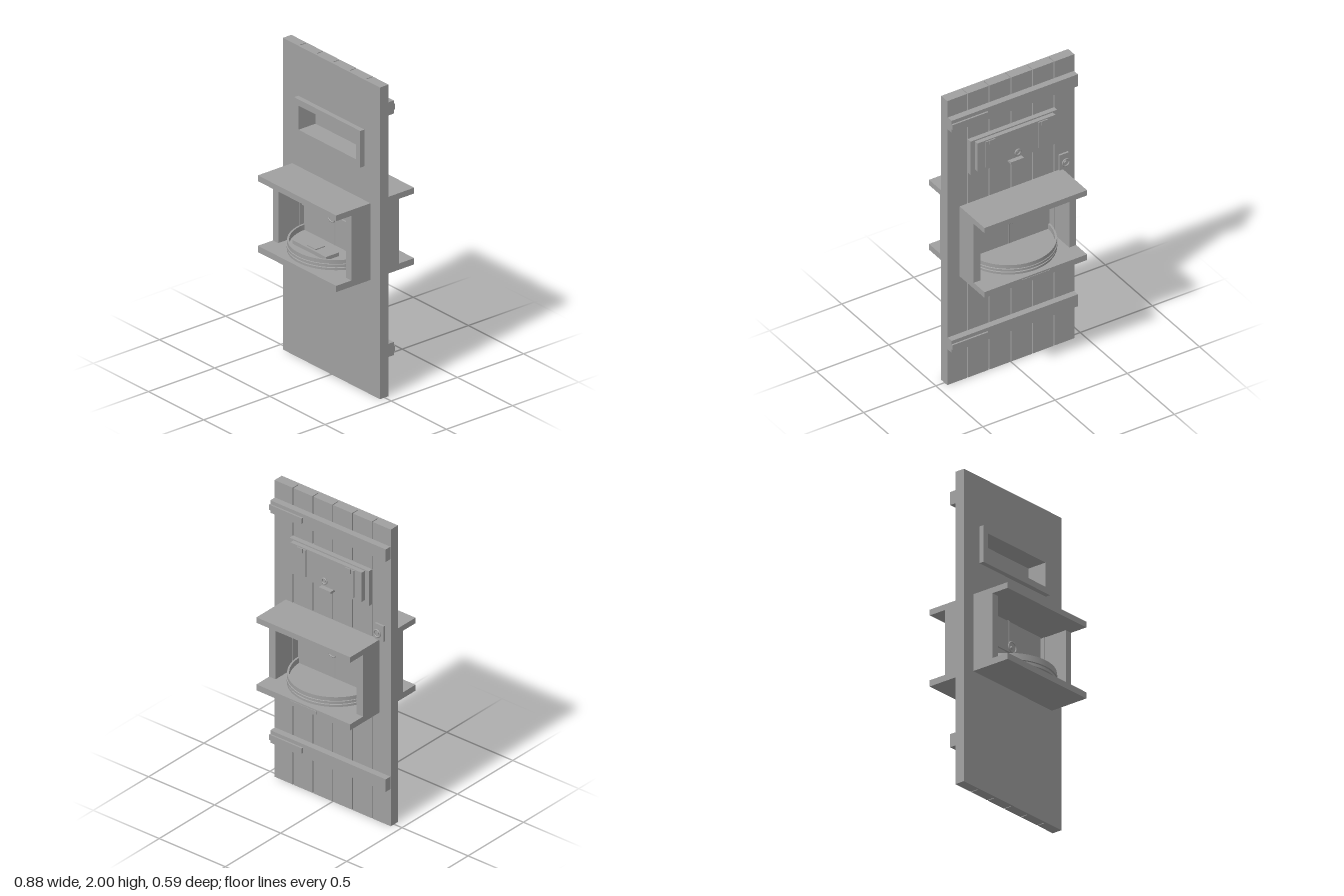
import * as THREE from 'three';
import { toCreasedNormals } from 'three/addons/utils/BufferGeometryUtils.js';

export function createModel() {
  const model = new THREE.Group();
  model.name = 'serviceDoor';
  const grey = new THREE.MeshStandardMaterial({ color: 0xa0a0a0 });
  grey.name = 'grey';

  function add(name, geometry, parent = model) {
    const mesh = new THREE.Mesh(geometry, grey);
    mesh.name = name;
    parent.add(mesh);
    return mesh;
  }
  // box given by its limits on each axis
  function box(name, x0, x1, y0, y1, z0, z1, parent = model) {
    const mesh = add(name, new THREE.BoxGeometry(x1 - x0, y1 - y0, z1 - z0), parent);
    mesh.position.set((x0 + x1) / 2, (y0 + y1) / 2, (z0 + z1) / 2);
    return mesh;
  }
  function rect(target, hw, y0, y1) {
    target.moveTo(-hw, y0);
    target.lineTo(hw, y0);
    target.lineTo(hw, y1);
    target.lineTo(-hw, y1);
    target.closePath();
    return target;
  }
  // rectangular sheet with rectangular openings
  function sheet(name, outer, openings, z0, z1) {
    const shape = rect(new THREE.Shape(), ...outer);
    for (const o of openings) shape.holes.push(rect(new THREE.Path(), ...o));
    const geometry = new THREE.ExtrudeGeometry(shape, { depth: z1 - z0, bevelEnabled: false });
    add(name, geometry).position.z = z0;
  }
  function ring(name, x, y, z, radius, tube, parent = model) {
    add(name, new THREE.TorusGeometry(radius, tube, 8, 28), parent).position.set(x, y, z);
  }
  function disc(name, x, y, z, radius, depth, parent = model) {
    const geometry = new THREE.CylinderGeometry(radius, radius, depth, 24).rotateX(Math.PI / 2);
    add(name, geometry, parent).position.set(x, y, z);
  }

  // door: smooth front face, planks with grooves behind
  sheet('doorFace', [0.44, 0, 2], [[0.305, 0.775, 1.19], [0.26, 1.485, 1.64]], 0.02, 0.035);
  const edges = [-0.44, -0.3, -0.15, 0, 0.15, 0.3, 0.44];
  for (let i = 0; i < 6; i++) {
    const outer = i === 0 || i === 5;
    const spans = outer ? [[0, 2]] : [[0, 0.775], [1.19, 1.485], [1.64, 2]];
    const x0 = edges[i] + (i > 0 ? 0.003 : 0);
    const x1 = edges[i + 1] - (i < 5 ? 0.003 : 0);
    for (const [y0, y1] of spans) box('plank', x0, x1, y0, y1, -0.03, 0.02);
  }

  // battens with hinge straps
  for (const y of [0.292, 1.842]) {
    box('batten', -0.437, 0.437, y - 0.042, y + 0.042, -0.072, -0.03);
    box('hingeStrap', 0.19, 0.437, y - 0.018, y + 0.018, -0.083, -0.072);
  }

  // viewing slot frame and its shutter
  sheet('slotFrame', [0.3, 1.445, 1.68], [[0.26, 1.485, 1.64]], -0.062, 0.067);
  const shutter = new THREE.Group();
  shutter.name = 'shutter';
  model.add(shutter);
  box('shutterPanel', -0.27, 0.27, 1.475, 1.672, -0.09, -0.062, shutter);
  for (const s of [-1, 1]) {
    const x = s * 0.182;
    box('shutterStrap', x - 0.033, x + 0.033, 1.485, 1.665, -0.097, -0.09, shutter);
    box('shutterHinge', x - 0.012, x + 0.012, 1.64, 1.67, -0.103, -0.097, shutter);
  }
  ring('shutterPull', 0, 1.52, -0.106, 0.018, 0.005, shutter);
  disc('pullStem', 0, 1.52, -0.097, 0.008, 0.02, shutter);
  box('shutterLatch', -0.045, 0.045, 1.447, 1.462, -0.103, -0.062, shutter);

  // lock plate and turning ring
  box('lockPlate', -0.395, -0.33, 1.23, 1.335, -0.043, -0.03);
  ring('lockRing', -0.362, 1.285, -0.061, 0.023, 0.005);
  disc('lockStem', -0.362, 1.285, -0.052, 0.009, 0.02);

  // hatch box through the door
  box('lowerShelf', -0.355, 0.355, 0.735, 0.775, -0.295, 0.295);
  box('upperShelf', -0.355, 0.355, 1.19, 1.227, -0.295, 0.295);
  for (const s of [-1, 1]) {
    const x = s * 0.331;
    box('hatchSide', x - 0.024, x + 0.024, 0.775, 1.19, -0.18, 0.18);
  }
  box('shelfPlate', -0.1, 0.1, 0.745, 0.765, -0.298, -0.295);

  // rotating tray with raised rim and divider
  const turntable = new THREE.Group();
  turntable.name = 'turntable';
  model.add(turntable);
  const profile = [
    [0, 0.792], [0.285, 0.792], [0.285, 0.806], [0.278, 0.808], [0.278, 0.814],
    [0.288, 0.816], [0.288, 0.83], [0.284, 0.832], [0.284, 0.857], [0.272, 0.857],
    [0.272, 0.822], [0, 0.822],
  ].map(([r, y]) => new THREE.Vector2(r, y));
  add('tray', toCreasedNormals(new THREE.LatheGeometry(profile, 64), 0.6), turntable);
  box('divider', -0.28, 0.28, 0.8, 1.185, -0.01, 0.01, turntable);
  const axle = add('axle', new THREE.CylinderGeometry(0.012, 0.012, 0.415, 16), turntable);
  axle.position.y = 0.9825;
  for (const s of [-1, 1]) {
    const z = s * 0.016;
    box('crossBar', -0.28, 0.28, 0.983, 1.015, z - 0.007, z + 0.007, turntable);
    ring('turningRing', 0, 1.013, s * 0.034, 0.033, 0.005, turntable);
    disc('ringStem', 0, 1.013, s * 0.026, 0.01, 0.02, turntable);
  }

  // flat case lying on the front half of the tray
  box('case', -0.17, 0.13, 0.822, 0.845, 0.085, 0.185, turntable);
  box('caseClasp', -0.06, 0.02, 0.845, 0.851, 0.1, 0.17, turntable);

  return model;
}
